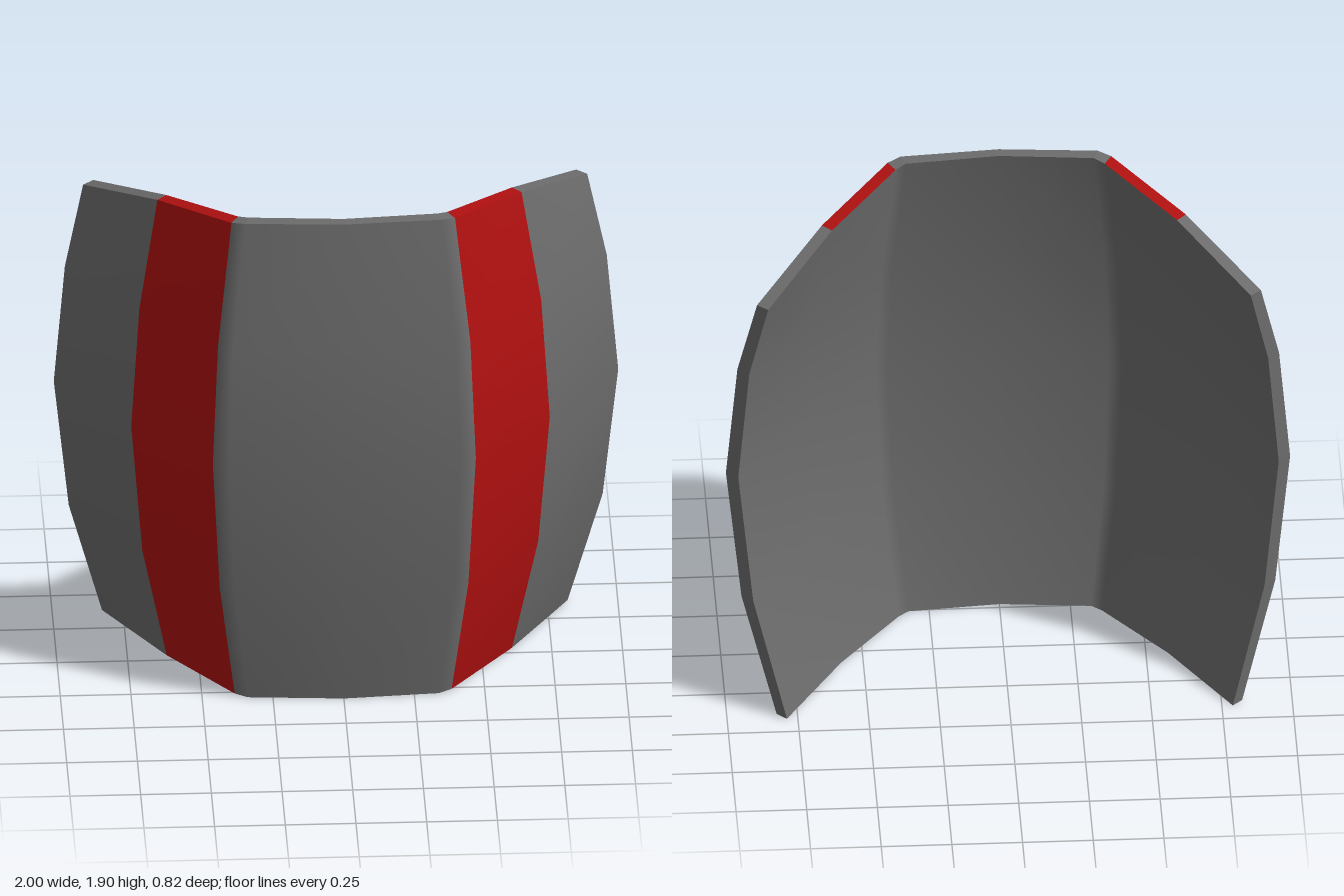
import * as THREE from 'three';

const grey = new THREE.MeshStandardMaterial({ color: 0x6c6c6c });
grey.name = 'gunmetal grey';
const red = new THREE.MeshStandardMaterial({ color: 0xb01010 });
red.name = 'stripe red';

// Half cross-section at the widest height, centre to side: [x, z]
const OUTER = [[0, 0.405], [0.41, 0.38], [0.465, 0.35], [0.74, 0.053], [0.998, -0.295]];
const INNER = [[0, 0.362], [0.392, 0.333], [0.435, 0.303], [0.702, 0.018], [0.956, -0.328]];
// Each level: height, width scale, shift in z
const LEVELS = [[0, 0.825, -0.09], [0.46, 0.946, -0.023], [0.97, 1, 0], [1.43, 0.96, -0.017], [1.9, 0.85, -0.088]];
// Towards the sides the top edge slopes down: [drop, extra width, extra z]
const TOP = [[0, 0, 0], [0.002, 0, 0], [0.01, 0, 0.005], [0.07, 0.02, 0.006], [0.18, 0.043, 0.023]];
const COLS = 9, ROWS = LEVELS.length;
const isStripe = (col) => col === 1 || col === 6;

// Point of a surface at column 0..8 (right to left) and level 0..4
function point(profile, col, row) {
  const i = Math.abs(col - 4), side = Math.sign(col - 4);
  const [y, scale, shift] = LEVELS[row];
  const [drop, wide, back] = row === ROWS - 1 ? TOP[i] : [row === 3 && i === 4 ? 0.01 : 0, 0, 0];
  return [side * profile[i][0] * (scale + wide), y - drop, profile[i][1] + shift + back];
}

// Indexed mesh with grey and red triangle groups
function makeMesh(name, positions, greyFaces, redFaces) {
  const g = new THREE.BufferGeometry();
  g.setAttribute('position', new THREE.Float32BufferAttribute(positions, 3));
  g.setIndex([...greyFaces, ...redFaces]);
  g.addGroup(0, greyFaces.length, 0);
  if (redFaces.length) g.addGroup(greyFaces.length, redFaces.length, 1);
  g.computeVertexNormals();
  const mesh = new THREE.Mesh(g, [grey, red]);
  mesh.name = name;
  return mesh;
}

// Smooth curved face, outward or inward
function makeFace(name, profile, outward) {
  const pos = [], greyFaces = [], redFaces = [];
  for (let r = 0; r < ROWS; r++)
    for (let c = 0; c < COLS; c++) pos.push(...point(profile, c, r));
  for (let r = 0; r < ROWS - 1; r++)
    for (let c = 0; c < COLS - 1; c++) {
      const a = r * COLS + c, b = a + 1, d = a + COLS, e = d + 1;
      const quad = outward ? [a, b, e, a, e, d] : [a, e, b, a, d, e];
      (outward && isStripe(c) ? redFaces : greyFaces).push(...quad);
    }
  return makeMesh(name, pos, greyFaces, redFaces);
}

// Flat rim joining the two faces, walked counter-clockwise around the outline
function makeRim() {
  const path = [];
  for (let c = 0; c < COLS - 1; c++) path.push([c, 0]);
  for (let r = 0; r < ROWS - 1; r++) path.push([COLS - 1, r]);
  for (let c = COLS - 1; c > 0; c--) path.push([c, ROWS - 1]);
  for (let r = ROWS - 1; r > 0; r--) path.push([0, r]);
  const pos = [], greyFaces = [], redFaces = [];
  path.forEach(([c, r], i) => {
    const [c2, r2] = path[(i + 1) % path.length];
    const n = pos.length / 3;
    pos.push(...point(OUTER, c, r), ...point(OUTER, c2, r2), ...point(INNER, c2, r2), ...point(INNER, c, r));
    const striped = c !== c2 && isStripe(Math.min(c, c2));
    (striped ? redFaces : greyFaces).push(n, n + 2, n + 1, n, n + 3, n + 2);
  });
  return makeMesh('rim', pos, greyFaces, redFaces);
}

export function createModel() {
  const model = new THREE.Group();
  model.name = 'curvedShieldPlate';
  const plate = new THREE.Group();
  plate.name = 'plate';
  plate.add(makeFace('outerFace', OUTER, true), makeFace('innerFace', INNER, false), makeRim());
  model.add(plate);
  return model;
}
